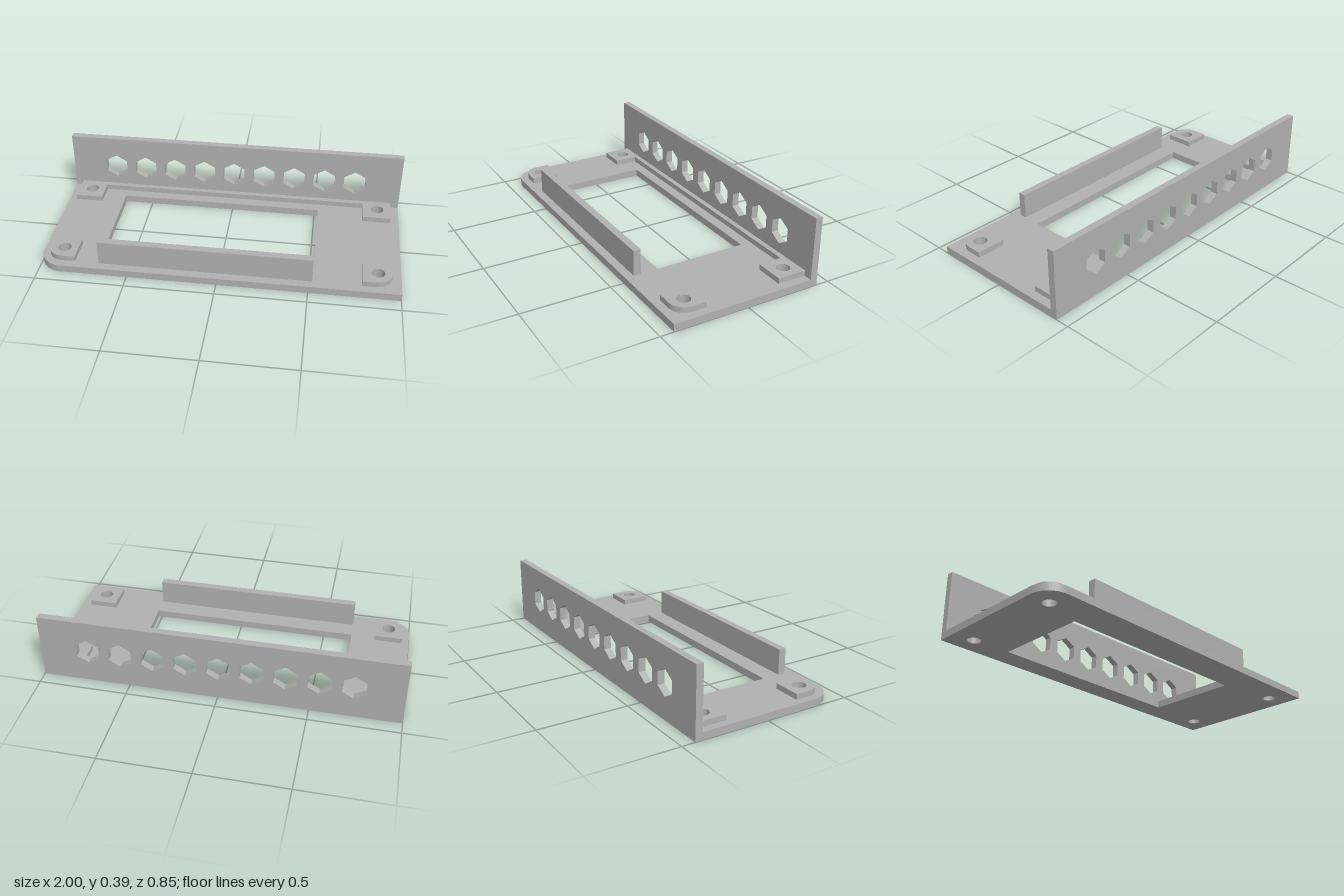
import * as THREE from 'three';
import { toCreasedNormals } from 'three/addons/utils/BufferGeometryUtils.js';

const BASE = 0.042, PAD = 0.031, WALL_FRONT = -0.385, BACK = -0.425;
const HOLE_R = 0.037;

// Rectangle in plan (x, z), with optional rounded front corners
function plan(x0, x1, z0, z1, rLeft = 0, rRight = 0) {
  const s = new THREE.Shape();
  s.moveTo(x0, -z0);
  if (rLeft) {
    s.lineTo(x0, -z1 + rLeft);
    s.absarc(x0 + rLeft, -z1 + rLeft, rLeft, Math.PI, Math.PI * 1.5, false);
  } else s.lineTo(x0, -z1);
  if (rRight) {
    s.lineTo(x1 - rRight, -z1);
    s.absarc(x1 - rRight, -z1 + rRight, rRight, -Math.PI / 2, 0, false);
  } else s.lineTo(x1, -z1);
  s.lineTo(x1, -z0);
  s.closePath();
  return s;
}

function roundHole(x, z) {
  const p = new THREE.Path();
  p.absarc(x, -z, HOLE_R, 0, Math.PI * 2, true);
  return p;
}

// Extrude a plan shape upward from height y
function slab(shape, y, height) {
  const g = new THREE.ExtrudeGeometry(shape, { depth: height, bevelEnabled: false, curveSegments: 20 });
  g.rotateX(-Math.PI / 2);
  g.translate(0, y, 0);
  return toCreasedNormals(g, 0.6);
}

export function createModel() {
  const group = new THREE.Group();
  group.name = 'mountingBracket';
  const grey = new THREE.MeshStandardMaterial({ color: 0xb0b0b0 });
  grey.name = 'grey';
  const add = (name, geometry) => {
    const mesh = new THREE.Mesh(geometry, grey);
    mesh.name = name;
    group.add(mesh);
  };

  // Screw positions with the pad extents around them
  const pads = [
    { name: 'backRightPad', x: -0.877, z: -0.305, box: [-0.957, -0.797, WALL_FRONT, -0.22] },
    { name: 'backLeftPad', x: 0.873, z: -0.305, box: [0.787, 0.951, WALL_FRONT, -0.22] },
    { name: 'frontRightPad', x: -0.877, z: 0.296, box: [-0.96, -0.8, 0.212, 0.377, 0.085, 0] },
    { name: 'frontLeftPad', x: 0.873, z: 0.296, box: [0.787, 0.951, 0.212, 0.377, 0, 0.085] },
  ];

  // Base plate with display window and screw holes
  const base = plan(-1, 1, BACK, 0.425, 0.125, 0);
  base.holes.push(plan(-0.665, 0.52, -0.295, 0.235), ...pads.map((p) => roundHole(p.x, p.z)));
  add('basePlate', slab(base, 0, BASE));

  // Raised screw pads
  for (const p of pads) {
    const s = plan(...p.box);
    s.holes.push(roundHole(p.x, p.z));
    add(p.name, slab(s, BASE, PAD));
  }

  // Low ledge joining the back pads
  add('backLedge', slab(plan(-0.797, 0.787, WALL_FRONT, -0.355), BASE, PAD));

  // Front rail
  add('frontRail', slab(plan(-0.665, 0.52, 0.335, 0.377), BASE, 0.144));

  // Back wall with a row of hexagonal holes
  const wall = new THREE.Shape([[-1, BASE], [1, BASE], [1, 0.39], [-1, 0.39]].map(([x, y]) => new THREE.Vector2(x, y)));
  for (let i = 0; i < 9; i++) {
    const cx = -0.732 + i * 0.1825, pts = [];
    for (let k = 0; k < 6; k++) {
      const a = Math.PI / 2 - (k * Math.PI) / 3;
      pts.push(new THREE.Vector2(cx + 0.074 * Math.cos(a), 0.199 + 0.074 * Math.sin(a)));
    }
    wall.holes.push(new THREE.Path(pts));
  }
  const wallGeo = new THREE.ExtrudeGeometry(wall, { depth: WALL_FRONT - BACK, bevelEnabled: false });
  wallGeo.translate(0, 0, BACK);
  add('backWall', wallGeo);

  return group;
}
